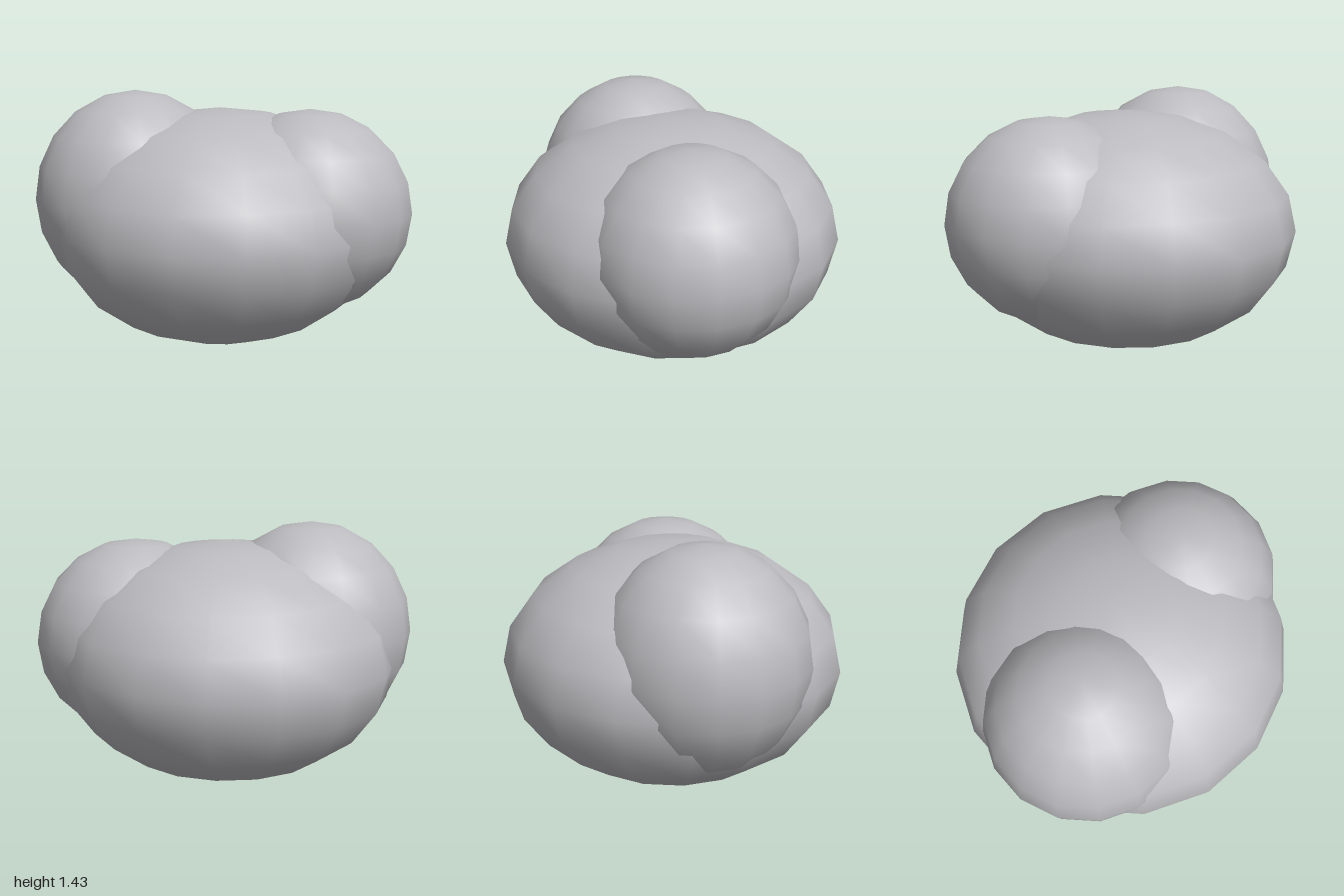
import * as THREE from 'three';

export function createModel() {
  const group = new THREE.Group();
  const grey = new THREE.MeshStandardMaterial({ color: 0xbcbcc0 });
  grey.name = 'soft grey';

  // Every part is a smooth, low-segment ellipsoid
  const ellipsoid = (name, center, radii) => {
    const geometry = new THREE.SphereGeometry(1, 16, 10);
    geometry.scale(...radii);
    const mesh = new THREE.Mesh(geometry, grey);
    mesh.name = name;
    mesh.position.set(...center);
    group.add(mesh);
  };

  // Wide flattened main mass
  ellipsoid('mainBody', [-0.05, 0.667, 0], [0.95, 0.665, 0.95]);
  // Taller lobe at the front right
  ellipsoid('frontRightLobe', [-0.43, 0.82, 0.285], [0.57, 0.61, 0.57]);
  // Lower lobe at the back left
  ellipsoid('backLeftLobe', [0.43, 0.77, -0.19], [0.57, 0.563, 0.57]);

  return group;
}
